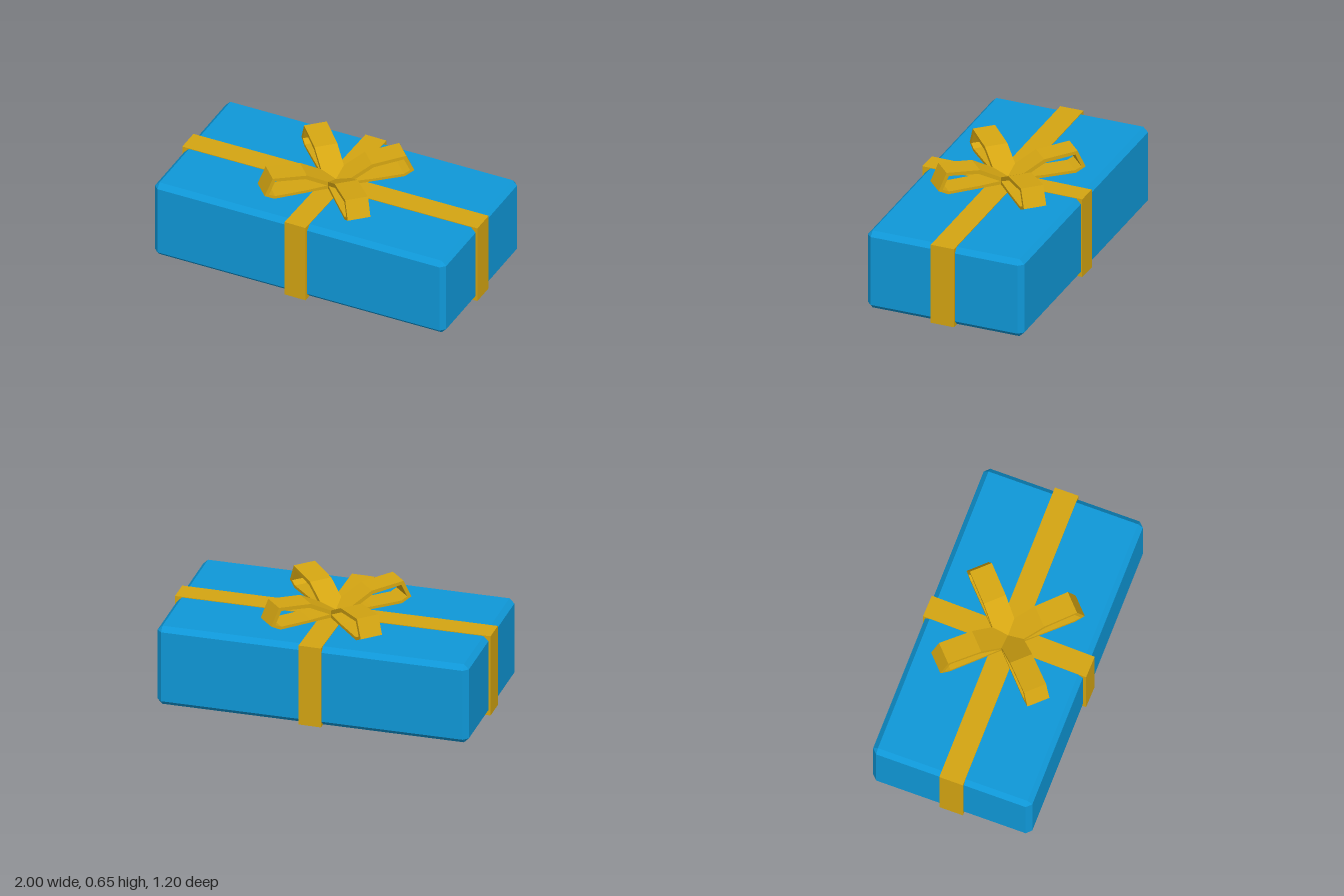
import * as THREE from 'three';
import { ConvexGeometry } from 'three/addons/geometries/ConvexGeometry.js';

const paper = new THREE.MeshStandardMaterial({ color: 0x0f98d8 });
paper.name = 'blue paper';
const gold = new THREE.MeshStandardMaterial({ color: 0xd4a512 });
gold.name = 'gold ribbon';

function add(parent, name, geometry, material) {
  const mesh = new THREE.Mesh(geometry, material);
  mesh.name = name;
  parent.add(mesh);
  return mesh;
}

// Box with every edge and corner cut at 45 degrees; a, h, b are half sizes
function chamferedBox(a, h, b, c) {
  const points = [];
  for (const x of [-1, 1]) for (const y of [-1, 1]) for (const z of [-1, 1]) {
    points.push(
      new THREE.Vector3(x * a, y * (h - c), z * (b - c)),
      new THREE.Vector3(x * (a - c), y * h, z * (b - c)),
      new THREE.Vector3(x * (a - c), y * (h - c), z * b)
    );
  }
  return new ConvexGeometry(points);
}

const toPoints = (list) => list.map(([x, y]) => new THREE.Vector2(x, y));

// Closed ribbon loop, seen from its side and extruded to the ribbon width
function bowLoopGeometry(width) {
  const shape = new THREE.Shape(toPoints([
    [0, 0.52], [0.2, 0.516], [0.4, 0.512], [0.46, 0.543],
    [0.41, 0.655], [0.2, 0.636], [0, 0.527]
  ]));
  shape.holes.push(new THREE.Path(toPoints([
    [0.075, 0.541], [0.21, 0.613], [0.395, 0.632],
    [0.434, 0.548], [0.395, 0.53], [0.2, 0.533]
  ])));
  const geometry = new THREE.ExtrudeGeometry(shape, { depth: width, bevelEnabled: false });
  return geometry.translate(0, 0, -width / 2);
}

export function createModel() {
  const model = new THREE.Group();
  model.name = 'giftBox';

  // Wrapped box
  const box = add(model, 'box', chamferedBox(0.953, 0.254, 0.499, 0.03), paper);
  box.position.y = 0.257;
  box.rotation.y = 0.113;

  // Ribbons wrapped round the box both ways
  const longRibbon = add(model, 'longRibbon', new THREE.BoxGeometry(1.932, 0.515, 0.148), gold);
  longRibbon.position.set(0, 0.2575, 0.006);
  longRibbon.rotation.y = 0.113;
  const shortRibbon = add(model, 'shortRibbon', new THREE.BoxGeometry(0.138, 0.513, 1.03), gold);
  shortRibbon.position.set(0, 0.2575, 0.006);
  shortRibbon.rotation.y = 0.092;

  // Bow of four loops
  const bow = new THREE.Group();
  bow.name = 'bow';
  const loopGeometry = bowLoopGeometry(0.14);
  for (let i = 0; i < 4; i++) {
    const loop = add(bow, 'bowLoop' + (i + 1), loopGeometry, gold);
    loop.rotation.y = -0.7 + i * Math.PI / 2;
  }
  model.add(bow);

  return model;
}
